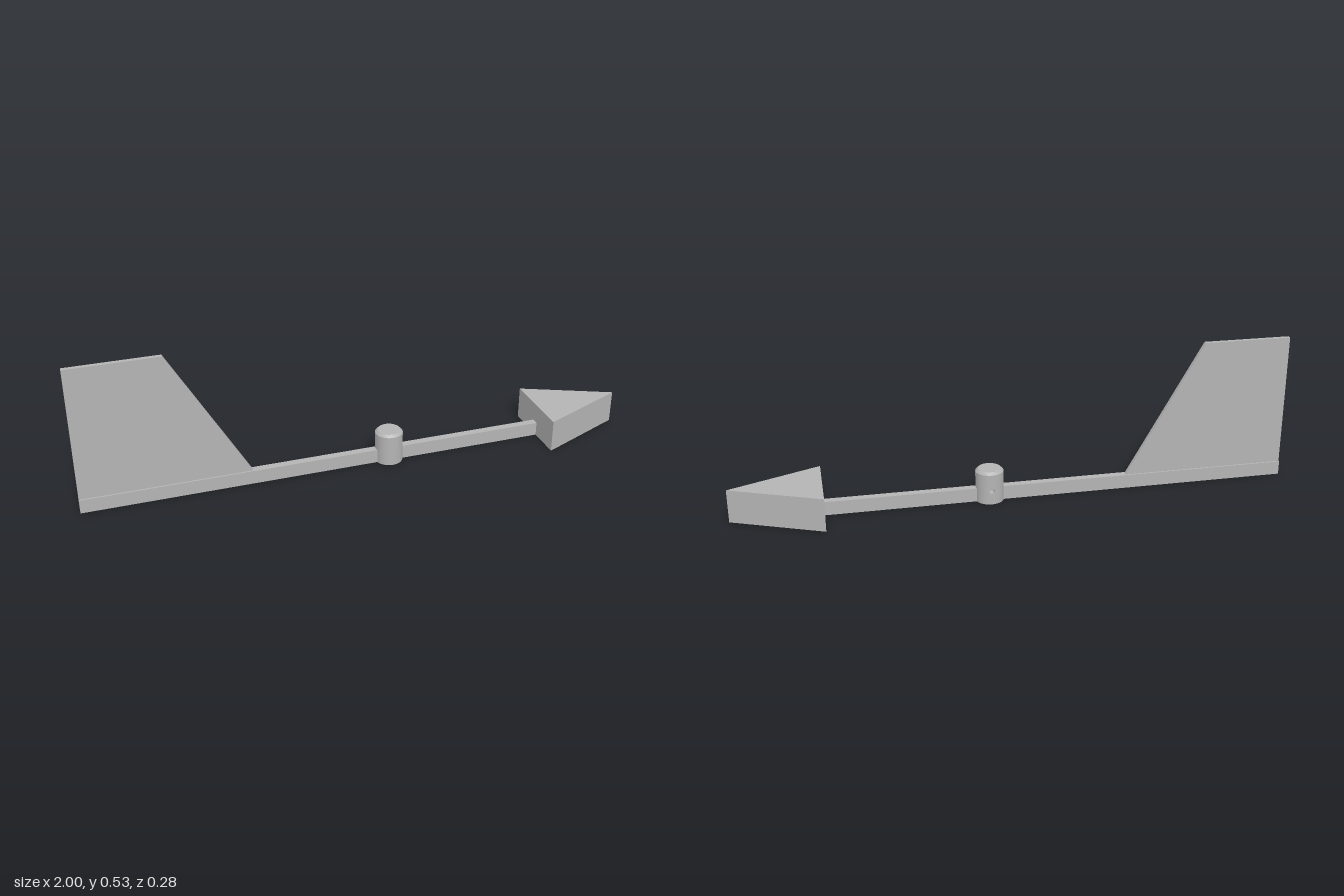
import * as THREE from 'three';

const HUB_X = 0.097, HUB_R = 0.05, BORE_R = 0.019, BORE_TOP = 0.085;
const HOLE_R = 0.01, HOLE_Y = 0.05;
const HUB_H = 0.12, CHAMFER = 0.009;

export function createModel() {
  const group = new THREE.Group();
  group.name = 'windVane';
  const grey = new THREE.MeshStandardMaterial({ color: 0xb4b4b4 });
  grey.name = 'grey';

  const add = (name, geometry, parent = group) => {
    const mesh = new THREE.Mesh(geometry, grey);
    mesh.name = name;
    parent.add(mesh);
    return mesh;
  };
  const polygon = (points) => new THREE.Shape(points.map(([x, y]) => new THREE.Vector2(x, y)));
  const extrude = (shape, depth) =>
    new THREE.ExtrudeGeometry(shape, { depth, bevelEnabled: false });
  const lathe = (points) =>
    new THREE.LatheGeometry(points.map(([r, y]) => new THREE.Vector2(r, y)), 48);

  // Square rod, stopping inside the hub wall on each side of the bore
  const rod = (name, x0, x1) => {
    const geometry = new THREE.BoxGeometry(x1 - x0, 0.05, 0.028);
    add(name, geometry.translate((x0 + x1) / 2, 0.025, 0));
  };
  rod('tailRod', -1, HUB_X - 0.03);
  rod('noseRod', HUB_X + 0.03, 0.69);

  // Thin upright tail fin
  const fin = polygon([[-1, 0.045], [-0.405, 0.045], [-0.405, 0.05], [-0.682, 0.53], [-1, 0.53]]);
  add('tailFin', extrude(fin, 0.016).translate(0, 0, -0.008));

  // Solid triangular arrowhead
  const head = polygon([[0.68, -0.14], [1, 0], [0.68, 0.14]]);
  add('arrowHead', extrude(head, 0.12).rotateX(-Math.PI / 2));

  // Hub with a chamfered top, a blind bore and a set-screw hole at the back
  const hub = new THREE.Group();
  hub.name = 'hub';
  hub.position.x = HUB_X;
  group.add(hub);

  const wallH = HUB_H - CHAMFER;
  const half = 0.36; // half angle of the back panel that holds the screw hole
  const wall = new THREE.CylinderGeometry(HUB_R, HUB_R, wallH, 48, 1, true,
    Math.PI + half, 2 * (Math.PI - half));
  add('hubWall', wall.translate(0, wallH / 2, 0), hub);

  // Back panel: a pierced flat shape bent round the hub
  const w = half * HUB_R;
  const panel = polygon([[-w, 0], [-w / 2, 0], [0, 0], [w / 2, 0], [w, 0],
    [w, wallH], [w / 2, wallH], [0, wallH], [-w / 2, wallH], [-w, wallH]]);
  panel.holes.push(new THREE.Path().absarc(0, HOLE_Y, HOLE_R, 0, Math.PI * 2, true));
  const bent = new THREE.ShapeGeometry(panel, 12);
  const pos = bent.attributes.position, normal = bent.attributes.normal;
  for (let i = 0; i < pos.count; i++) {
    const a = Math.PI + pos.getX(i) / HUB_R;
    pos.setXYZ(i, Math.sin(a) * HUB_R, pos.getY(i), Math.cos(a) * HUB_R);
    normal.setXYZ(i, Math.sin(a), 0, Math.cos(a));
  }
  add('hubBackPanel', bent, hub);

  // Inner faces, with profiles running so that they face outward or into the bore
  add('hubChamfer', lathe([[HUB_R, wallH], [HUB_R - CHAMFER, HUB_H]]), hub);
  add('hubTop', lathe([[HUB_R - CHAMFER, HUB_H], [0, HUB_H]]), hub);
  add('hubBase', lathe([[BORE_R, 0], [HUB_R, 0]]), hub);
  add('boreWall', lathe([[BORE_R, BORE_TOP], [BORE_R, 0]]), hub);
  add('boreEnd', lathe([[0, BORE_TOP], [BORE_R, BORE_TOP]]), hub);

  // Screw hole lining, turned inside out by a mirrored radius
  const depth = HUB_R - BORE_R;
  const lining = lathe([[HOLE_R, depth], [HOLE_R, 0]]).rotateX(-Math.PI / 2);
  add('screwHole', lining.translate(0, HOLE_Y, -BORE_R), hub);

  return group;
}
